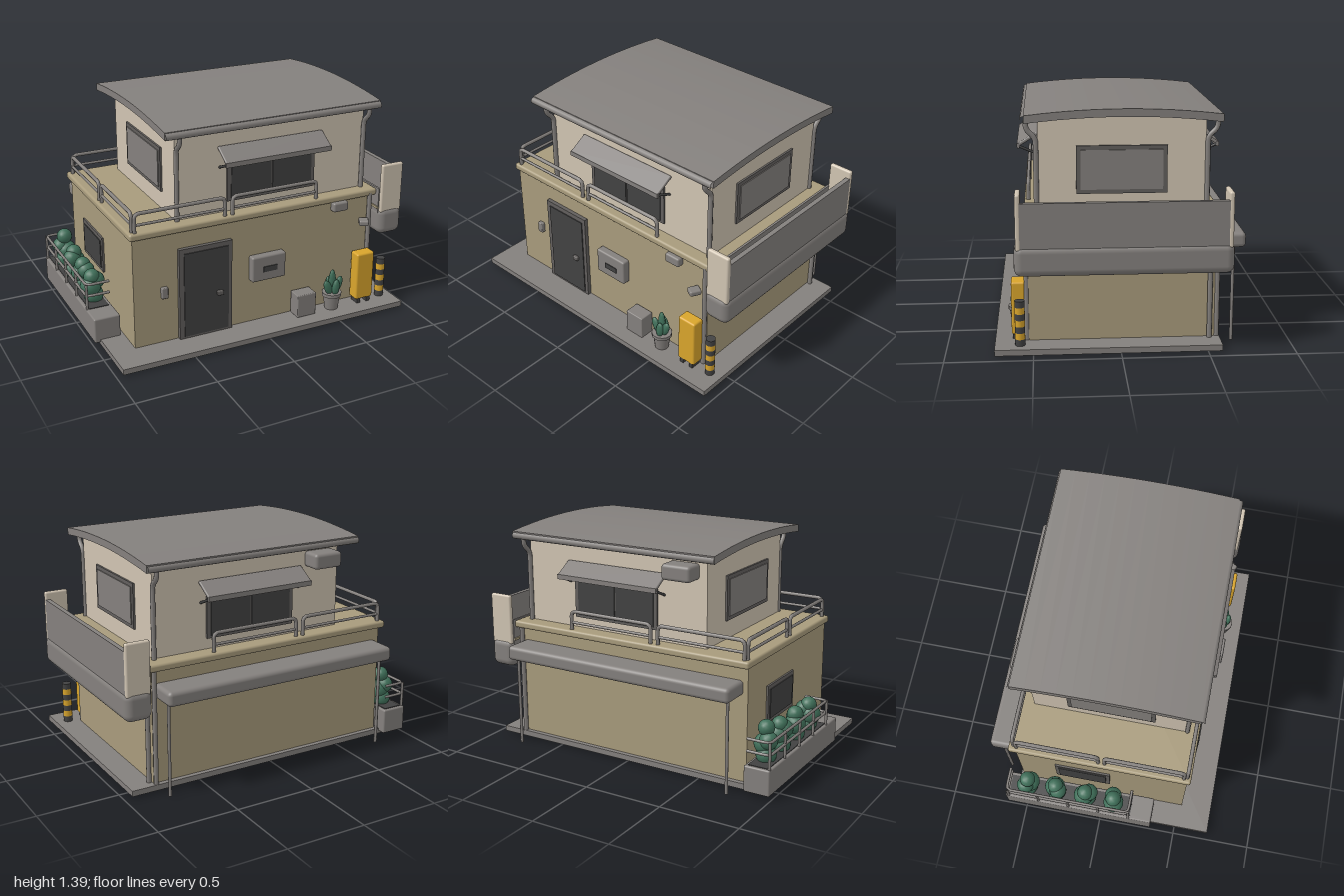
import * as THREE from 'three';
import { RoundedBoxGeometry } from 'three/addons/geometries/RoundedBoxGeometry.js';

const mat = (name, color) => {
  const m = new THREE.MeshStandardMaterial({ color });
  m.name = name;
  return m;
};

export function createModel() {
  const tan = mat('tan plaster', 0xa89b7c);
  const cream = mat('cream plaster', 0xd0c4b2);
  const grey = mat('grey concrete', 0x84807d);
  const steel = mat('dark steel', 0x625f5d);
  const dark = mat('charcoal', 0x424242);
  const yellow = mat('sign yellow', 0xd9a52c);
  const green = mat('leaf green', 0x40705a);

  const root = new THREE.Group();
  root.name = 'house';
  const add = (name, geo, m, parent = root) => {
    const mesh = new THREE.Mesh(geo, m);
    mesh.name = name;
    parent.add(mesh);
    return mesh;
  };
  const group = (name) => {
    const g = new THREE.Group();
    g.name = name;
    root.add(g);
    return g;
  };
  // box given by its limits, with an optional rounding radius
  const box = (name, m, x0, x1, y0, y1, z0, z1, r = 0, parent = root) => {
    const s = [x1 - x0, y1 - y0, z1 - z0];
    const geo = r ? new RoundedBoxGeometry(...s, 3, r) : new THREE.BoxGeometry(...s);
    const mesh = add(name, geo, m, parent);
    mesh.position.set((x0 + x1) / 2, (y0 + y1) / 2, (z0 + z1) / 2);
    return mesh;
  };
  const V = (x, y, z) => new THREE.Vector3(x, y, z);
  // pipe running through points with tight bends
  const pipe = (name, m, pts, r, parent = root) => {
    const path = new THREE.CurvePath();
    let prev = pts[0];
    for (let i = 1; i < pts.length - 1; i++) {
      const a = pts[i].clone().add(pts[i - 1].clone().sub(pts[i]).setLength(0.03));
      const b = pts[i].clone().add(pts[i + 1].clone().sub(pts[i]).setLength(0.03));
      path.add(new THREE.LineCurve3(prev, a));
      path.add(new THREE.QuadraticBezierCurve3(a, pts[i], b));
      prev = b;
    }
    path.add(new THREE.LineCurve3(prev, pts[pts.length - 1]));
    return add(name, new THREE.TubeGeometry(path, pts.length > 2 ? 40 : 1, r, 8), m, parent);
  };
  // profile of [z, y] points swept along x
  const sweepX = (name, m, pts, x0, x1) => {
    const shape = new THREE.Shape(pts.map(([z, y]) => new THREE.Vector2(-z, y)));
    const geo = new THREE.ExtrudeGeometry(shape, { depth: x1 - x0, bevelEnabled: false });
    geo.rotateY(Math.PI / 2).translate(x0, 0, 0);
    return add(name, geo, m);
  };

  // ground slab and lower storey
  box('groundSlab', grey, -0.96, 0.95, 0.01, 0.045, -0.58, 0.72);
  box('lowerStorey', tan, -0.81, 0.8, 0.04, 0.75, -0.55, 0.525);
  box('deckRim', tan, -0.83, 0.83, 0.74, 0.785, -0.59, 0.545, 0.015);

  // upper storey under a gently arched roof
  const roofY = (z) => 1.39 - 0.11 * (z + 0.02) ** 2;
  const arc = (z0, z1, drop) => Array.from({ length: 13 }, (_, i) => {
    const z = z0 + (z1 - z0) * i / 12;
    return [z, roofY(z) - drop];
  });
  sweepX('upperStorey', cream, [[-0.49, 0.78], [0.46, 0.78], ...arc(0.46, -0.49, 0.03)], -0.51, 0.755);
  sweepX('roof', grey, [...arc(-0.575, 0.535, 0.045), ...arc(0.535, -0.575, 0)], -0.6, 0.825);

  // front and back: window, sloping awning with struts, gutter, railings
  for (const [side, s, wall, edge] of [['front', 1, 0.46, 0.52], ['back', -1, 0.49, 0.56]]) {
    const g = group(side + 'Fittings');
    const zbox = (name, m, x0, x1, y0, y1, d0, d1, r) => box(name, m, x0, x1, y0, y1,
      Math.min(s * (wall + d0), s * (wall + d1)), Math.max(s * (wall + d0), s * (wall + d1)), r, g);
    zbox('windowFrame', steel, -0.18, 0.41, 0.85, 1.15, -0.01, 0.012);
    for (const x of [-0.155, 0.12]) zbox('windowPane', dark, x, x + 0.265, 0.865, 1.13, 0.01, 0.018);
    const awning = box('awning', grey, -0.24, 0.46, -0.01, 0.01, -0.07, 0.07, 0.008, g);
    awning.position.set(0.11, 1.16, s * (wall + 0.06));
    awning.rotation.x = s * 0.55;
    zbox('awningLip', grey, -0.24, 0.46, 1.105, 1.135, 0.105, 0.122);
    for (const x of [-0.225, 0.445]) {
      pipe('awningStrut', dark, [V(x, 1.07, s * wall), V(x, 1.12, s * (wall + 0.115))], 0.008, g);
    }
    pipe('gutter', grey, [V(-0.6, 1.33, s * (wall + 0.075)), V(0.82, 1.33, s * (wall + 0.075))], 0.022, g);
    for (const x of [-0.505, 0.755]) {
      if (x < 0 && s < 0) continue;
      pipe('upperDownpipe', grey, [V(x, 1.32, s * (wall + 0.065)), V(x, 1.27, s * (wall + 0.065)),
        V(x, 1.22, s * (wall + 0.01)), V(x, 0.78, s * (wall + 0.01))], 0.015, g);
    }
    for (const [x0, x1] of [[-0.79, -0.22], [-0.17, 0.4]]) railing(g, V(x0, 0.77, s * edge), V(x1, 0.77, s * edge));
  }

  // hoop railing with a middle bar
  function railing(parent, a, b) {
    const up = (p, h) => p.clone().setY(p.y + h);
    pipe('railingHoop', grey, [a, up(a, 0.13), up(b, 0.13), b], 0.012, parent);
    pipe('railingBar', grey, [up(a, 0.06), up(b, 0.06)], 0.009, parent);
  }
  const leftRails = group('leftRailings');
  railing(leftRails, V(-0.8, 0.77, -0.54), V(-0.8, 0.77, -0.03));
  railing(leftRails, V(-0.8, 0.77, 0.01), V(-0.8, 0.77, 0.5));

  // framed windows on the sides
  const sideWindow = (name, s, x, y0, y1, z0, z1, glass) => {
    const g = group(name);
    const put = (part, m, d, inset) => box(part, m, Math.min(s * (x - 0.01), s * (x + d)),
      Math.max(s * (x - 0.01), s * (x + d)), y0 + inset, y1 - inset, z0 + inset, z1 - inset, 0, g);
    put('frame', steel, 0.012, 0);
    put('glass', glass, 0.018, 0.024);
  };
  sideWindow('upperRightWindow', 1, 0.755, 0.9, 1.175, -0.27, 0.245, grey);
  sideWindow('upperLeftWindow', -1, 0.51, 0.9, 1.175, -0.27, 0.27, grey);
  sideWindow('lowerLeftWindow', -1, 0.81, 0.33, 0.56, -0.31, 0.04, dark);

  // side balcony
  const balcony = group('balcony');
  box('base', grey, 0.825, 0.995, 0.48, 0.66, -0.63, 0.6, 0.045, balcony);
  box('floor', tan, 0.82, 0.965, 0.655, 0.67, -0.6, 0.57, 0, balcony);
  box('outerWall', grey, 0.955, 0.985, 0.62, 0.9, -0.6, 0.57, 0, balcony);
  box('innerWall', grey, 0.828, 0.842, 0.62, 0.79, -0.6, 0.57, 0, balcony);
  for (const z of [-0.62, 0.56]) box('endWall', cream, 0.835, 0.987, 0.63, 0.95, z, z + 0.03, 0.012, balcony);

  // rear canopy, its posts and an air conditioner above
  box('rearCanopy', grey, -0.78, 0.78, 0.57, 0.66, -0.73, -0.53, 0.025);
  for (const x of [-0.74, 0.75]) pipe('canopyPost', grey, [V(x, 0, -0.66), V(x, 0.6, -0.66)], 0.01);
  box('airConditioner', grey, -0.46, -0.27, 1.19, 1.285, -0.61, -0.48, 0.02);
  for (const [x, z] of [[0.785, 0.535], [0.79, -0.565], [0.815, -0.52]]) {
    pipe('lowerDownpipe', grey, [V(x, 0.04, z), V(x, 0.76, z)], 0.015);
  }

  // front door
  const door = group('door');
  box('frame', steel, -0.53, -0.185, 0.045, 0.635, 0.51, 0.55, 0, door);
  box('panel', dark, -0.5, -0.21, 0.06, 0.605, 0.53, 0.556, 0, door);
  box('handle', steel, -0.29, -0.25, 0.295, 0.325, 0.55, 0.575, 0.006, door);

  // boxes and fixtures on the front wall
  box('doorbell', grey, -0.64, -0.6, 0.34, 0.41, 0.52, 0.55, 0.006);
  box('mailbox', grey, -0.06, 0.17, 0.33, 0.495, 0.52, 0.575, 0.012);
  box('mailSlot', dark, 0.015, 0.11, 0.39, 0.425, 0.572, 0.58);
  box('utilityBox', grey, 0.235, 0.365, 0.045, 0.195, 0.53, 0.625, 0.006);
  box('wallLamp', grey, 0.505, 0.61, 0.685, 0.745, 0.52, 0.57, 0.012);
  const camera = box('wallCamera', grey, 0.7, 0.76, 0.565, 0.6, 0.53, 0.6, 0.01);
  camera.rotation.y = -0.5;

  // potted plant
  const plant = group('pottedPlant');
  plant.position.set(0.5, 0.045, 0.59);
  add('pot', new THREE.CylinderGeometry(0.055, 0.042, 0.1, 16), grey, plant).position.y = 0.05;
  add('potRim', new THREE.CylinderGeometry(0.062, 0.062, 0.022, 16), grey, plant).position.y = 0.1;
  for (const [x, y, z, tilt, h] of [[0, 0.18, 0, 0, 0.085], [-0.035, 0.15, 0.01, 0.4, 0.055],
    [0.038, 0.16, 0.01, -0.35, 0.055], [0.01, 0.15, 0.03, -0.1, 0.055], [0, 0.15, -0.03, 0.2, 0.06]]) {
    const leaf = add('leaf', new THREE.SphereGeometry(1, 10, 8), green, plant);
    leaf.scale.set(0.026, h, 0.018);
    leaf.position.set(x, y, z);
    leaf.rotation.z = tilt;
  }

  // yellow standing sign and striped bollard
  const sign = group('standingSign');
  box('signBoard', yellow, 0.66, 0.785, 0.075, 0.39, 0.545, 0.625, 0.012, sign);
  for (const x of [0.675, 0.745]) box('signFoot', dark, x, x + 0.025, 0.045, 0.08, 0.55, 0.62, 0, sign);
  const bollard = group('bollard');
  for (let i = 0; i < 7; i++) {
    const band = add('band', new THREE.CylinderGeometry(0.029, 0.029, 0.038, 16), i % 2 ? yellow : dark, bollard);
    band.position.set(0.87, 0.064 + i * 0.038, 0.575);
  }

  // planter with fence and bushes
  const planter = group('planter');
  box('trough', grey, -0.995, -0.83, 0.025, 0.185, -0.63, 0.34, 0.01, planter);
  box('soil', dark, -0.975, -0.85, 0.18, 0.189, -0.61, 0.2, 0, planter);
  for (const z of [-0.61, -0.41, -0.21, -0.01, 0.19]) {
    pipe('fencePost', grey, [V(-0.985, 0.17, z), V(-0.985, 0.35, z)], 0.009, planter);
  }
  for (const y of [0.27, 0.345]) {
    pipe('fenceRail', grey, [V(-0.84, y, -0.61), V(-0.985, y, -0.61), V(-0.985, y, 0.19), V(-0.84, y, 0.19)], 0.009, planter);
  }
  [-0.49, -0.3, -0.1, 0.08].forEach((z, i) => {
    const bush = new THREE.Group();
    bush.name = 'bush';
    bush.position.set(-0.905, 0.18, z);
    bush.rotation.y = i * 1.3;
    planter.add(bush);
    const top = i === 0 ? 0.2 : 0.16;
    for (const [x, y, dz, r] of [[0, 0.04, 0, 0.062], [0.015, 0.1, 0.01, 0.065], [-0.018, 0.13, -0.01, 0.055], [0.005, top, 0.005, 0.05]]) {
      add('foliage', new THREE.IcosahedronGeometry(r, 2), green, bush).position.set(x, y, dz);
    }
  });

  return root;
}
